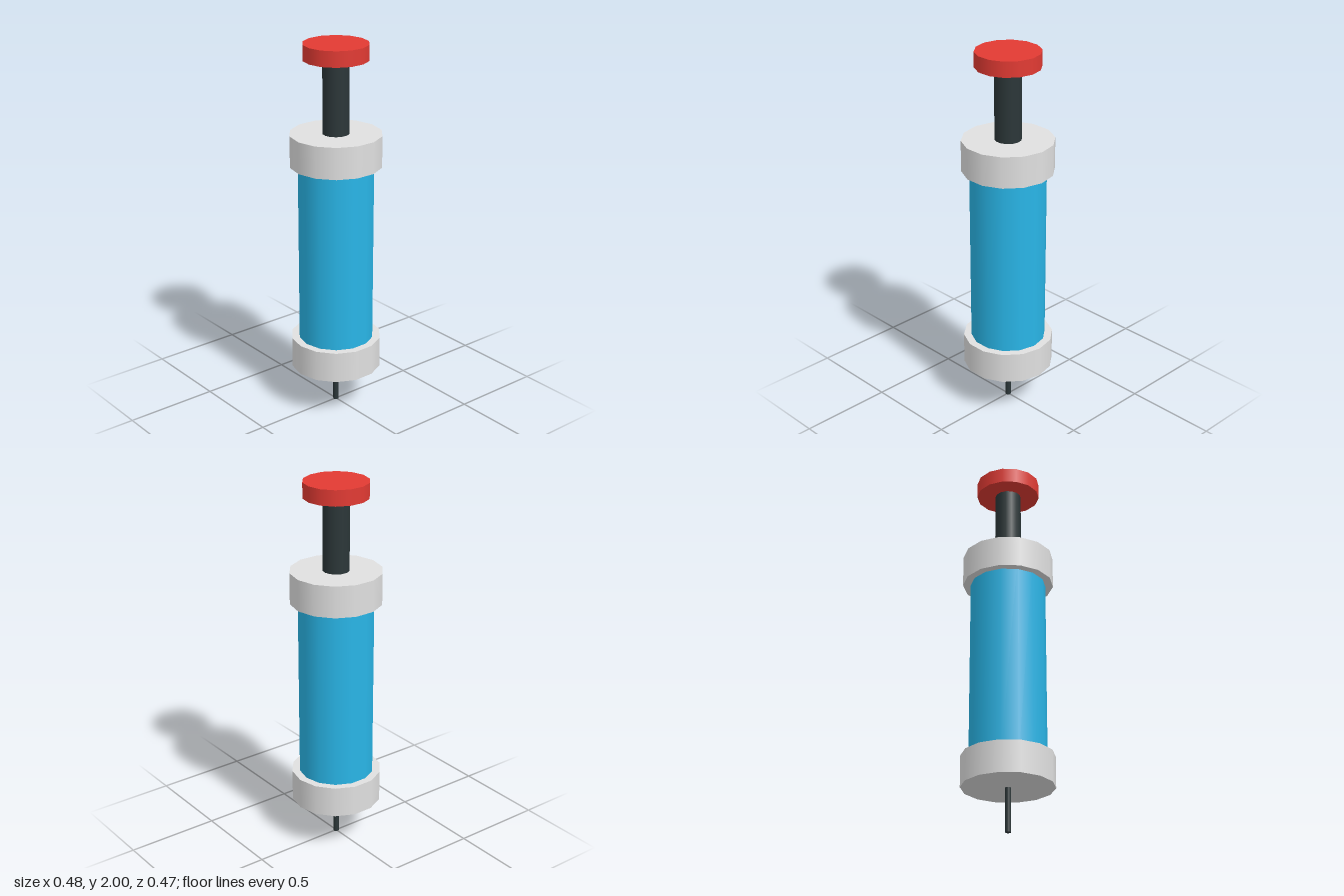
import * as THREE from 'three';

const SIDES = 14;

function material(name, color) {
  const m = new THREE.MeshStandardMaterial({ color });
  m.name = name;
  return m;
}

export function createModel() {
  const model = new THREE.Group();
  model.name = 'syringe';

  const grey = material('light grey', 0xe0e0e0);
  const blue = material('liquid blue', 0x29b6e8);
  const dark = material('dark slate', 0x2b3638);
  const red = material('red', 0xe23a33);

  // Upright cylinder between two heights, with a corner on the x axis
  function disc(name, radius, bottom, top, mat) {
    const geometry = new THREE.CylinderGeometry(radius, radius, top - bottom, SIDES, 1, false, Math.PI / 2);
    const mesh = new THREE.Mesh(geometry, mat);
    mesh.name = name;
    mesh.position.y = (bottom + top) / 2;
    model.add(mesh);
  }

  disc('needle', 0.015, 0, 0.26, dark);
  disc('lowerCollar', 0.241, 0.23, 0.398, grey);
  disc('barrel', 0.2, 0.3, 1.45, blue);
  disc('upperCollar', 0.241, 1.365, 1.533, grey);
  disc('plungerRod', 0.07, 1.45, 1.95, dark);
  disc('plungerCap', 0.17, 1.918, 2, red);

  return model;
}
